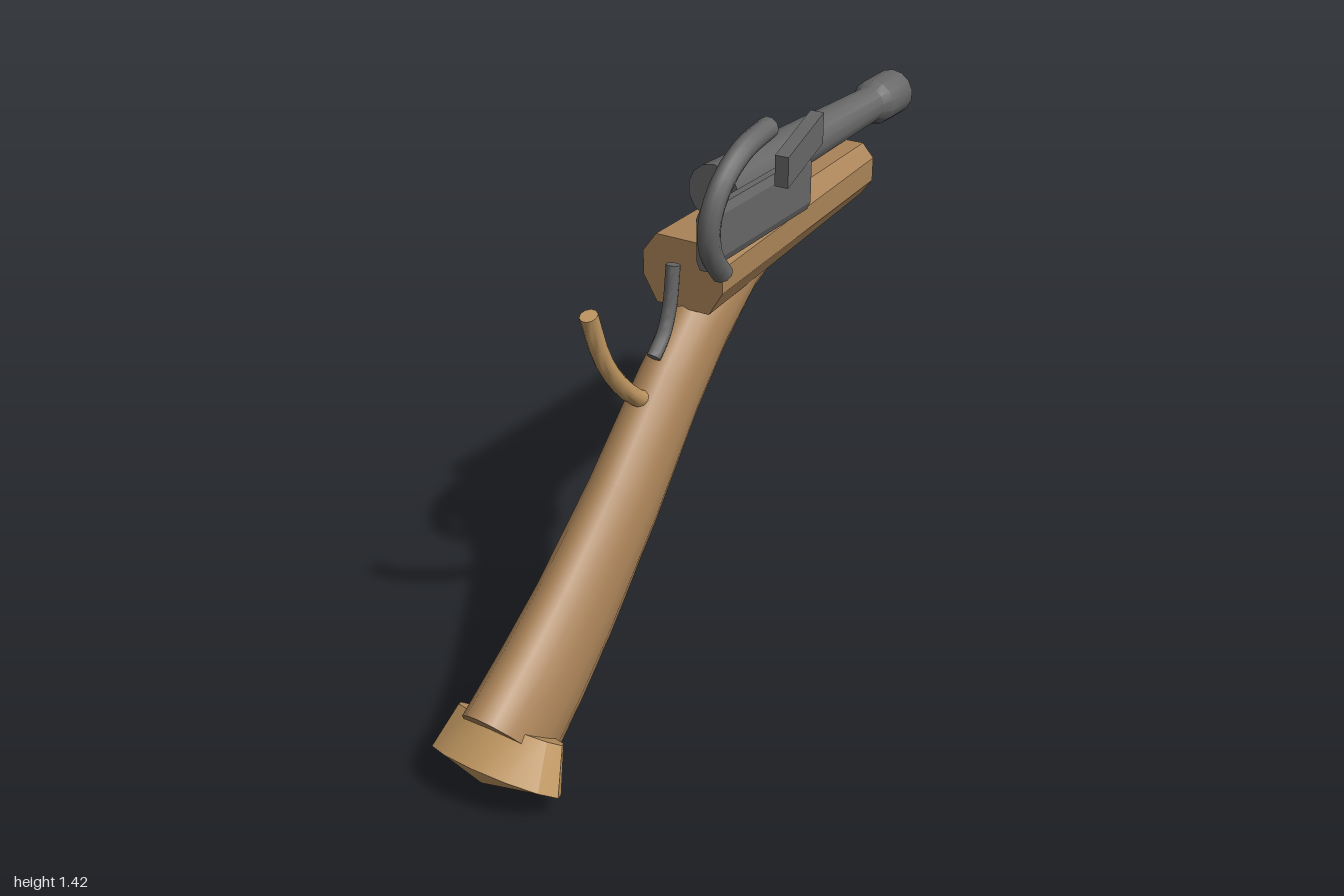
import * as THREE from 'three';
import { mergeGeometries, toCreasedNormals } from 'three/addons/utils/BufferGeometryUtils.js';

const CX = -0.013; // x of the middle plane
const wood = new THREE.MeshStandardMaterial({ color: 0xaa8358 });
const paleWood = new THREE.MeshStandardMaterial({ color: 0xbf9660 });
const metal = new THREE.MeshStandardMaterial({ color: 0x666666 });

// Skin over equal rings of [x, y, z], closed by fans; tip optionally moves the last fan centre.
function loft(rings, crease, tip) {
  const n = rings[0].length;
  const middle = (r) => [0, 1, 2].map((k) => r.reduce((s, p) => s + p[k], 0) / n);
  const points = [...rings.flat(), middle(rings[0]), tip ?? middle(rings.at(-1))];
  const last = (rings.length - 1) * n, c0 = rings.length * n, c1 = c0 + 1;
  const index = [];
  for (let j = 0; j < n; j++) {
    const k = (j + 1) % n;
    for (let i = 0; i < last; i += n) {
      index.push(i + j, i + k, i + n + k, i + j, i + n + k, i + n + j);
    }
    index.push(c0, k, j, c1, last + j, last + k);
  }
  const g = new THREE.BufferGeometry();
  g.setAttribute('position', new THREE.Float32BufferAttribute(points.flat(), 3));
  g.setIndex(index);
  return toCreasedNormals(g, crease);
}

// Ellipse standing between an upper and a lower [z, y] point.
function ellipse([tz, ty], [bz, by], halfWidth, sides) {
  return Array.from({ length: sides }, (_, i) => {
    const a = (i / sides) * Math.PI * 2, s = Math.sin(a) / 2;
    return [CX + halfWidth * Math.cos(a), (ty + by) / 2 + s * (ty - by), (tz + bz) / 2 + s * (tz - bz)];
  });
}

// Upright octagon with cut corners at depth z.
function octagon(x, hw, flat, y0, y1, y2, y3, z) {
  return [[flat, y0], [hw, y1], [hw, y2], [flat, y3], [-flat, y3], [-hw, y2], [-hw, y1], [-flat, y0]]
    .map(([dx, y]) => [x + dx, y, z]);
}

// Round bar with closed ends through [x, y, z] points.
function bar(points, radius, sides = 10) {
  const curve = new THREE.CatmullRomCurve3(points.map((p) => new THREE.Vector3(...p)));
  const parts = [new THREE.TubeGeometry(curve, 16, radius, sides)];
  for (const t of [0, 1]) {
    const dir = curve.getTangent(t).multiplyScalar(t ? 1 : -1);
    const cap = new THREE.CircleGeometry(radius, sides);
    cap.applyQuaternion(new THREE.Quaternion().setFromUnitVectors(new THREE.Vector3(0, 0, 1), dir));
    const p = curve.getPoint(t);
    parts.push(cap.translate(p.x, p.y, p.z));
  }
  return toCreasedNormals(mergeGeometries(parts), 0.9);
}

export function createModel() {
  const model = new THREE.Group();
  const add = (name, geometry, material) => {
    const mesh = new THREE.Mesh(geometry, material);
    mesh.name = name;
    model.add(mesh);
    return mesh;
  };

  // Barrel with flared muzzle and bore
  const profile = [[0, 0.03], [0.072, 0.03], [0.05, 0.85], [0.064, 0.88], [0.065, 1], [0.028, 1], [0.028, 0.88], [0, 0.88]];
  const barrel = new THREE.LatheGeometry(profile.map(([r, y]) => new THREE.Vector2(r, y)), 14);
  barrel.rotateX(-Math.PI / 2).translate(CX, 1.195, 0);
  add('barrel', toCreasedNormals(barrel, 0.6), metal);

  // Eight-sided stock under the barrel, widening to the rear
  add('stock', loft([
    octagon(CX, 0.095, 0.062, 0.99, 1.035, 1.1, 1.137, -0.705),
    octagon(CX, 0.114, 0.075, 0.94, 1.005, 1.068, 1.12, 0.11),
  ], 0.3), wood);

  // Curved grip: upper point, lower point, half width
  const grip = [
    [[-0.335, 1.155], [-0.37, 0.965], 0.063],
    [[-0.08, 1.04], [-0.16, 0.89], 0.07],
    [[0.11, 0.946], [-0.02, 0.785], 0.075],
    [[0.246, 0.834], [0.11, 0.66], 0.077],
    [[0.46, 0.63], [0.3, 0.445], 0.083],
    [[0.674, 0.455], [0.51, 0.225], 0.089],
    [[0.81, 0.36], [0.64, 0.11], 0.094],
    [[0.963, 0.262], [0.775, 0.005], 0.098],
  ];
  add('grip', loft(grip.map(([t, b, w]) => ellipse(t, b, w, 16)), 0.8), wood);

  // Flared butt cap with a shallow point
  add('buttCap', loft([
    ellipse([0.91, 0.22], [0.79, 0.128], 0.148, 12),
    ellipse([0.995, 0.145], [0.83, 0.016], 0.178, 12),
  ], 0.4, [CX, 0.083, 0.966]), paleWood);

  // Guard bar passing through the grip
  add('guard', bar([
    [CX, 1.07, 0.493], [CX, 0.95, 0.45], [CX, 0.86, 0.39], [CX, 0.775, 0.3],
    [CX, 0.735, 0.18], [CX, 0.735, 0.06], [CX, 0.76, -0.02], [CX, 0.83, -0.08],
  ], 0.022), paleWood);

  // Trigger
  add('trigger', bar([[CX, 1.07, 0.15], [CX, 0.97, 0.167], [CX, 0.905, 0.195], [CX, 0.86, 0.24]], 0.018), metal);

  // Lock plate on the left side
  add('lockPlate', loft([-0.3, 0.18].map((z) => octagon(0.091, 0.019, 0.01, 1.087, 1.108, 1.214, 1.235, z)), 0.3), metal);

  // Hooked hammer
  add('hammer', bar([
    [0.142, 1.095, 0.18], [0.146, 1.16, 0.233], [0.151, 1.24, 0.248],
    [0.157, 1.32, 0.21], [0.16, 1.378, 0.125], [0.16, 1.402, 0.005],
  ], 0.027), metal);

  // Slanted striking plate
  const slab = (y0, y1, z) => [[0.138, y0, z], [0.175, y0, z], [0.175, y1, z], [0.138, y1, z]];
  add('strikePlate', loft([slab(1.295, 1.373, -0.235), slab(1.23, 1.308, -0.065)], 0.3), metal);

  return model;
}
